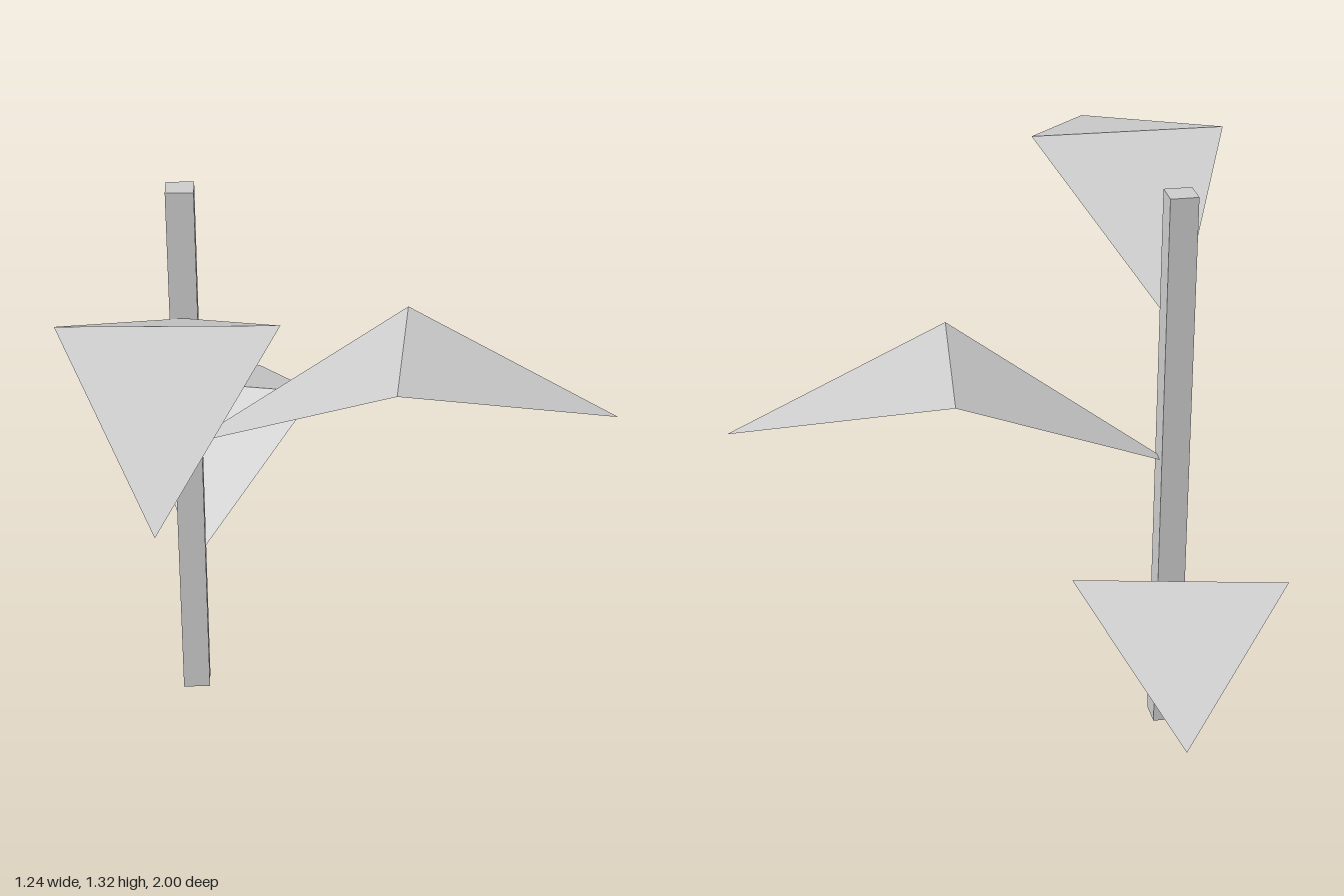
import * as THREE from 'three';

const STEM_X = -0.38, STEM_Z = -0.163, STEM_HEIGHT = 1.32, STEM_WIDTH = 0.064;

// A folded leaf: two triangles meeting along a raised crease, rooted on the stem axis
function makeLeaf(name, rootY, sideA, sideB, tip, material) {
  const creaseY = rootY + 0.264, tipY = rootY + 0.108;
  const root = [STEM_X, rootY, STEM_Z];
  const a = [sideA[0], creaseY, sideA[1]];
  const b = [sideB[0], creaseY, sideB[1]];
  const end = [tip[0], tipY, tip[1]];
  const geometry = new THREE.BufferGeometry();
  geometry.setAttribute('position', new THREE.Float32BufferAttribute(
    [root, a, b, end, b, a].flat(), 3));
  geometry.computeVertexNormals();
  const leaf = new THREE.Mesh(geometry, material);
  leaf.name = name;
  return leaf;
}

export function createModel() {
  const group = new THREE.Group();
  group.name = 'leafyStem';
  const grey = new THREE.MeshStandardMaterial({ color: 0xcccccc, side: THREE.DoubleSide });
  grey.name = 'light grey';

  // Square upright stem
  const stem = new THREE.Mesh(
    new THREE.BoxGeometry(STEM_WIDTH, STEM_HEIGHT, STEM_WIDTH), grey);
  stem.name = 'stem';
  stem.position.set(STEM_X, STEM_HEIGHT / 2, STEM_Z);
  group.add(stem);

  // Leaves at three heights: root height, crease ends and tip as [x, z]
  group.add(
    makeLeaf('topLeaf', 0.996, [-0.624, 0.41], [-0.162, 0.42], [-0.405, 0.995], grey),
    makeLeaf('middleLeaf', 0.668, [0.095, 0.118], [0.145, -0.34], [0.617, -0.06], grey),
    makeLeaf('lowerLeaf', 0.338, [-0.072, -0.54], [-0.525, -0.63], [-0.215, -1.0], grey),
  );
  return group;
}
